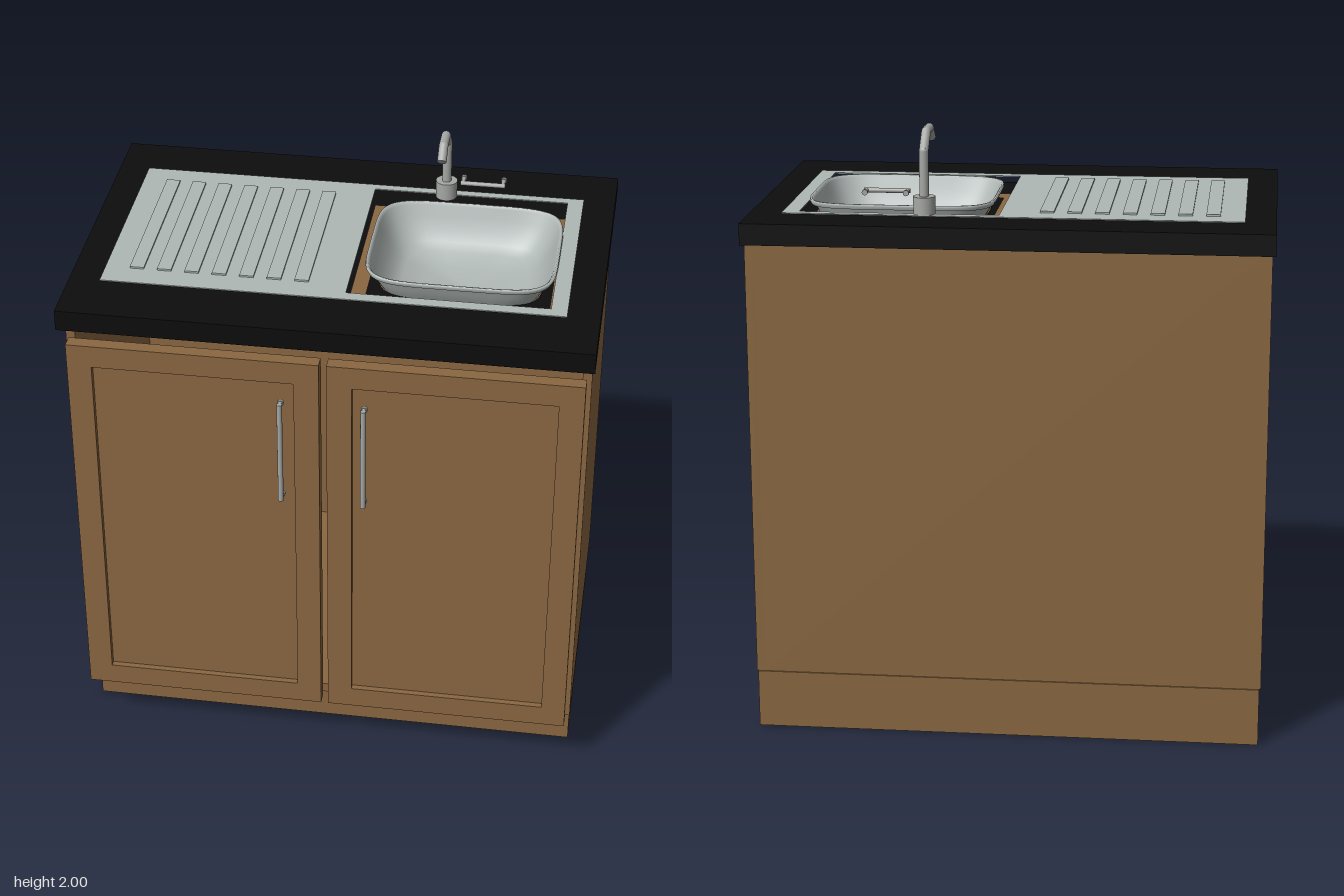
import * as THREE from 'three';

const mat = (name, color, side = THREE.FrontSide) => {
  const m = new THREE.MeshStandardMaterial({ color, side });
  m.name = name;
  return m;
};

export function createModel() {
  const wood = mat('wood', 0x8a6741);
  const black = mat('blackWorktop', 0x0d0d0d);
  const steel = mat('steel', 0xb0b8b6, THREE.DoubleSide);
  const chrome = mat('chrome', 0xa6a8a5);
  const root = new THREE.Group();
  root.name = 'sinkUnit';

  const add = (parent, name, geo, material) => {
    const m = new THREE.Mesh(geo, material);
    m.name = name;
    parent.add(m);
    return m;
  };
  // Box given by its extents on each axis
  const box = (parent, name, material, [x0, x1], [y0, y1], [z0, z1]) => {
    const m = add(parent, name, new THREE.BoxGeometry(x1 - x0, y1 - y0, z1 - z0), material);
    m.position.set((x0 + x1) / 2, (y0 + y1) / 2, (z0 + z1) / 2);
    return m;
  };
  const rect = (x0, x1, z0, z1) =>
    [[x0, z0], [x1, z0], [x1, z1], [x0, z1]].map(([x, z]) => new THREE.Vector2(x, -z));
  // Horizontal slab with a hole
  const slab = (parent, name, material, outline, hole, y0, y1) => {
    const shape = new THREE.Shape(outline);
    shape.holes.push(new THREE.Path(hole));
    const geo = new THREE.ExtrudeGeometry(shape, { depth: y1 - y0, bevelEnabled: false });
    geo.rotateX(-Math.PI / 2).translate(0, y0, 0);
    return add(parent, name, geo, material);
  };

  // Bowl outline: a rounded rectangle (superellipse) at a given scale
  const SEG = 64;
  const bowlPoint = (i, s) => {
    const a = (i / SEG) * Math.PI * 2, c = Math.cos(a), n = Math.sin(a);
    const p = 2 / 5;
    return [
      0.384 + 0.311 * s * Math.sign(c) * Math.abs(c) ** p,
      -0.031 + 0.269 * s * Math.sign(n) * Math.abs(n) ** p,
    ];
  };

  // Carcass, open at the front
  const carcass = new THREE.Group();
  carcass.name = 'carcass';
  root.add(carcass);
  for (const s of [-1, 1]) {
    const side = box(carcass, 'sidePanel', wood, [0.81, 0.84], [0.195, 1.655], [-0.545, 0.465]);
    side.position.x *= s;
  }
  box(carcass, 'backPanel', wood, [-0.81, 0.81], [0.195, 1.655], [-0.545, -0.515]);
  box(carcass, 'floorPanel', wood, [-0.81, 0.81], [0.195, 0.23], [-0.515, 0.465]);
  box(root, 'plinth', wood, [-0.835, 0.835], [0, 0.195], [-0.55, 0.36]);

  // Bar handle with two standoffs, lying along y and standing out along +z
  const handle = (name, length, depth, r, material) => {
    const g = new THREE.Group();
    g.name = name;
    const h = length / 2 - r;
    const bar = add(g, 'handleBar', new THREE.CylinderGeometry(r, r, length, 12), material);
    bar.position.z = depth - r;
    for (const s of [-1, 1]) {
      const post = add(g, 'handlePost', new THREE.CylinderGeometry(r * 0.9, r * 0.9, depth - r, 12), material);
      post.rotation.x = Math.PI / 2;
      post.position.set(0, s * h, (depth - r) / 2);
      const foot = add(g, 'handleFoot', new THREE.CylinderGeometry(r * 1.2, r * 1.2, 0.01, 12), material);
      foot.rotation.x = Math.PI / 2;
      foot.position.set(0, s * h, 0.005);
    }
    return g;
  };

  // Framed doors with recessed panels
  for (const s of [-1, 1]) {
    const door = new THREE.Group();
    door.name = s < 0 ? 'rightDoor' : 'leftDoor';
    root.add(door);
    const span = (a, b) => (s < 0 ? [-b, -a] : [a, b]);
    const z = [0.49, 0.535];
    box(door, 'innerStile', wood, span(0.012, 0.093), [0.205, 1.595], z);
    box(door, 'outerStile', wood, span(0.745, 0.825), [0.205, 1.595], z);
    box(door, 'topRail', wood, span(0.093, 0.745), [1.517, 1.595], z);
    box(door, 'bottomRail', wood, span(0.093, 0.745), [0.205, 0.28], z);
    box(door, 'doorPanel', wood, span(0.05, 0.785), [0.25, 1.555], [0.478, 0.515]);
    const h = handle('doorHandle', 0.375, 0.038, 0.009, chrome);
    h.position.set(s * 0.134, 1.268, 0.535);
    door.add(h);
  }

  // Worktop: thin base layer cut around the bowl, thick layer with a rectangular cut-out
  const outer = rect(-0.85, 0.85, -0.57, 0.545);
  const cutout = rect(0.04, 0.692, -0.37, 0.305);
  const bowlCut = Array.from({ length: SEG }, (_, i) => {
    const [x, z] = bowlPoint(i, 0.86);
    return new THREE.Vector2(x, -z);
  });
  slab(root, 'worktopBase', black, outer, bowlCut, 1.655, 1.66);
  slab(root, 'worktop', black, outer, cutout, 1.66, 1.725);
  slab(root, 'cutoutLining', wood, cutout, rect(0.09, 0.682, -0.29, 0.23), 1.66, 1.665);

  // Steel top plate and draining ridges
  slab(root, 'drainerPlate', steel, rect(-0.75, 0.745, -0.4, 0.345), cutout, 1.724, 1.728);
  for (let i = 0; i < 7; i++) {
    const x = -0.647 + i * 0.0895;
    box(root, 'drainerRidge', steel, [x - 0.023, x + 0.023], [1.727, 1.734], [-0.32, 0.26]);
  }

  // Sink bowl lofted through scaled outlines: [scale, height]
  const loops = [[0.985, 1.722], [1, 1.732], [0.995, 1.739], [0.975, 1.739], [0.955, 1.73],
    [0.91, 1.695], [0.84, 1.655], [0.76, 1.622], [0.66, 1.598], [0.4, 1.578], [0.001, 1.57]];
  const pos = [], idx = [];
  loops.forEach(([s, y], j) => {
    for (let i = 0; i < SEG; i++) {
      const [x, z] = bowlPoint(i, s);
      pos.push(x, y, z);
      if (j === loops.length - 1) continue;
      const a = j * SEG + i, b = j * SEG + (i + 1) % SEG;
      idx.push(a, a + SEG, b, b, a + SEG, b + SEG);
    }
  });
  const bowlGeo = new THREE.BufferGeometry();
  bowlGeo.setAttribute('position', new THREE.Float32BufferAttribute(pos, 3));
  bowlGeo.setIndex(idx);
  bowlGeo.computeVertexNormals();
  add(root, 'sinkBowl', bowlGeo, steel);

  // Tap: base, angular spout and side lever
  const tap = new THREE.Group();
  tap.name = 'tap';
  root.add(tap);
  const base = add(tap, 'tapBase', new THREE.CylinderGeometry(0.036, 0.036, 0.06, 24), chrome);
  base.position.set(0.283, 1.755, -0.365);
  const path = [[1.76, -0.365], [1.932, -0.365], [1.985, -0.307], [1.985, -0.235], [1.948, -0.19]]
    .map(([y, z]) => new THREE.Vector3(0.283, y, z));
  const R = 0.0155;
  for (let i = 0; i < path.length - 1; i++) {
    const dir = path[i + 1].clone().sub(path[i]);
    const pipe = add(tap, 'spoutPipe', new THREE.CylinderGeometry(R, R, dir.length(), 16), chrome);
    pipe.position.copy(path[i]).addScaledVector(dir, 0.5);
    pipe.quaternion.setFromUnitVectors(new THREE.Vector3(0, 1, 0), dir.normalize());
    if (i > 0) add(tap, 'spoutElbow', new THREE.SphereGeometry(R, 16, 10), chrome).position.copy(path[i]);
  }
  const lever = handle('tapLever', 0.15, 0.052, 0.008, chrome);
  lever.rotation.z = Math.PI / 2;
  lever.position.set(0.408, 1.795, -0.378);
  tap.add(lever);

  return root;
}
